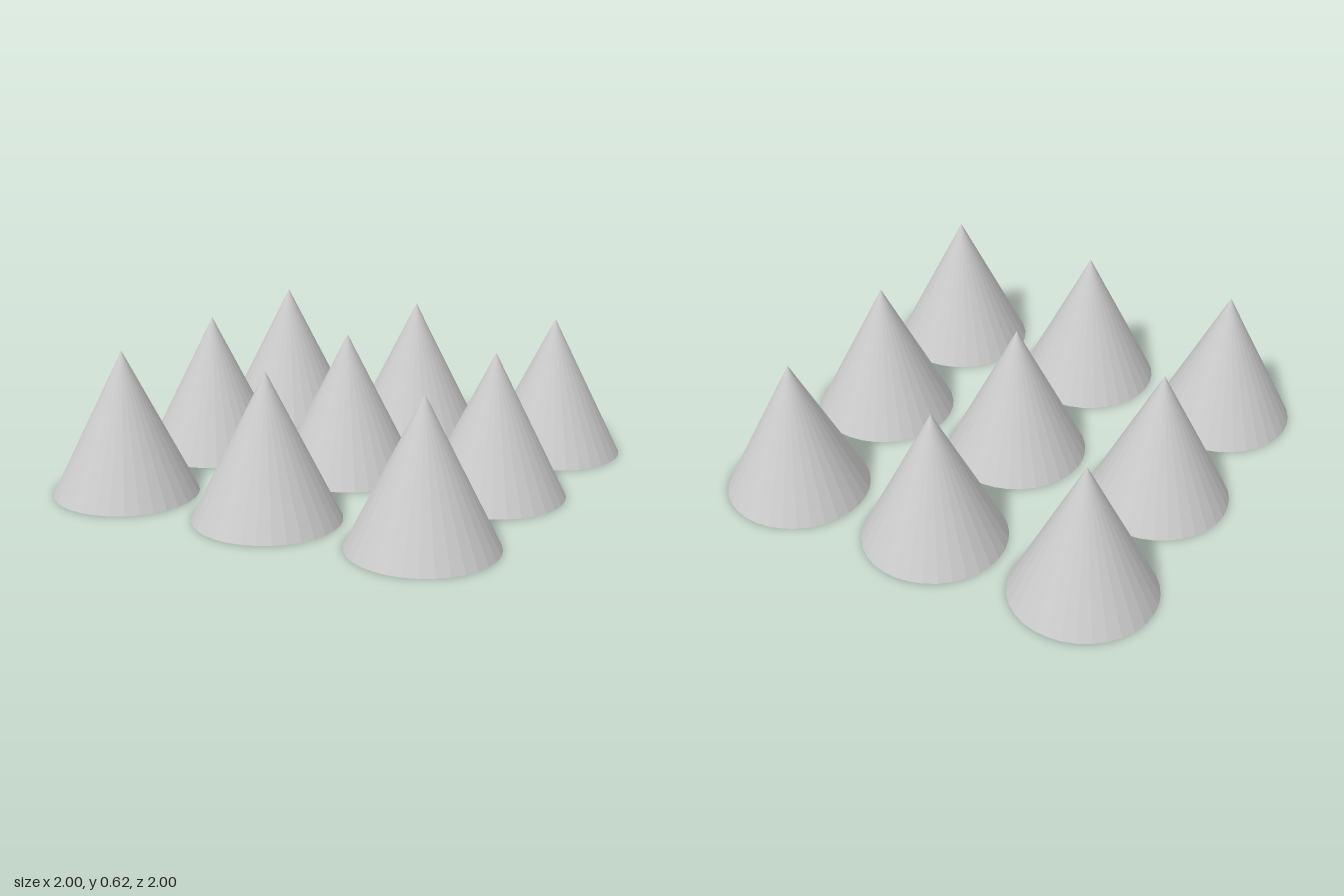
import * as THREE from 'three';

const RADIUS = 4 / 13;
const HEIGHT = 8 / 13;
const SPACING = 9 / 13;

export function createModel() {
  const group = new THREE.Group();
  group.name = 'coneGrid';

  // One faceted cone, standing on its base
  const geometry = new THREE.ConeGeometry(RADIUS, HEIGHT, 32);
  geometry.translate(0, HEIGHT / 2, 0);
  const material = new THREE.MeshStandardMaterial({ color: 0xcccccc, flatShading: true });

  // Three rows of three
  for (let row = -1; row <= 1; row++) {
    for (let column = -1; column <= 1; column++) {
      const cone = new THREE.Mesh(geometry, material);
      cone.name = `coneRow${row + 2}Column${column + 2}`;
      cone.position.set(column * SPACING, 0, row * SPACING);
      group.add(cone);
    }
  }
  return group;
}
